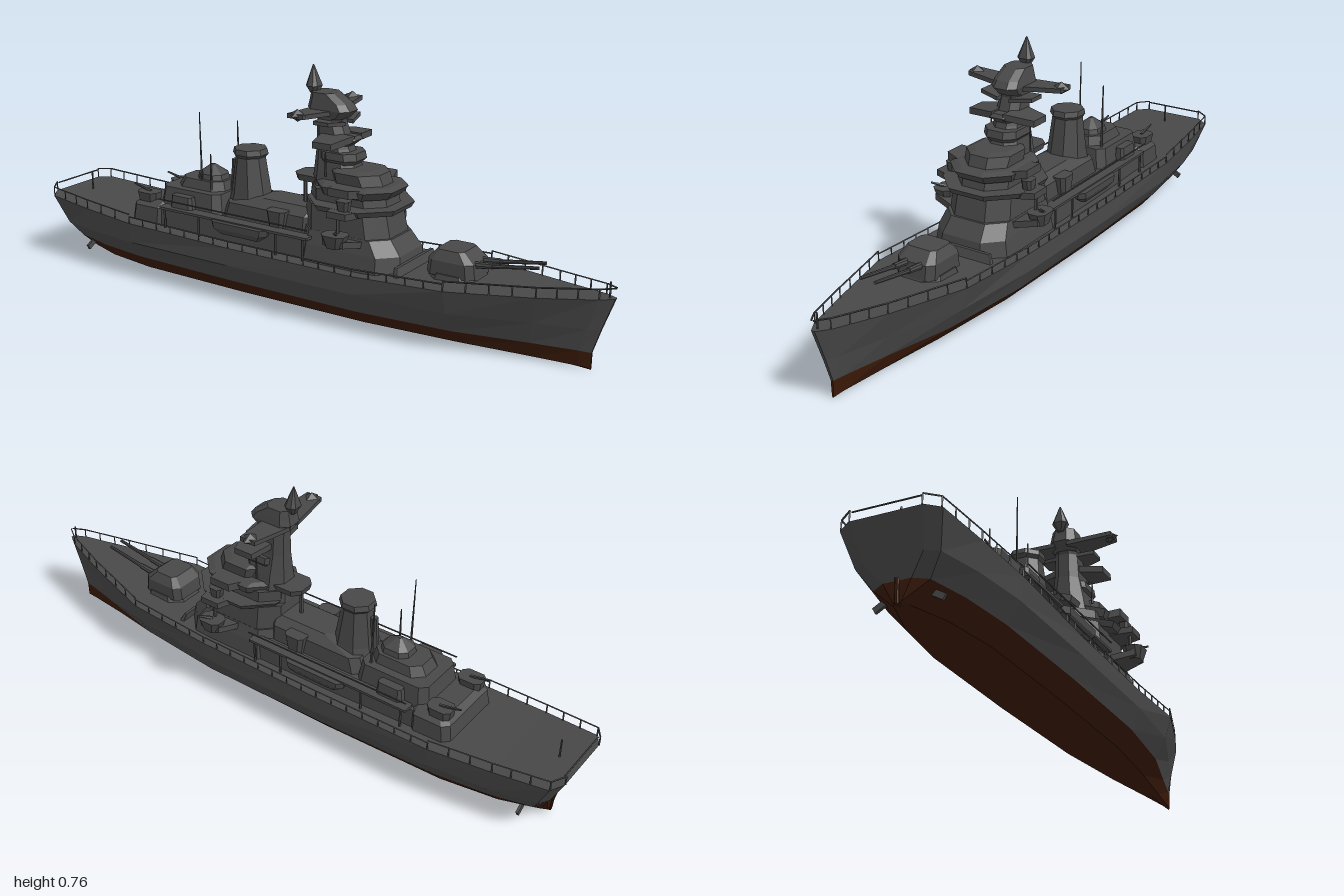
import * as THREE from 'three';

const grey = new THREE.MeshStandardMaterial({ color: 0x484848, flatShading: true, side: THREE.DoubleSide });
grey.name = 'warship grey';
const brown = new THREE.MeshStandardMaterial({ color: 0x3a1a08, flatShading: true, side: THREE.DoubleSide });
brown.name = 'bottom paint brown';

// Hull stations: deck x, keel x, deck y, half widths at deck, side, waterline, bilge
const stations = [
  [-0.995, -0.92, 0.222, 0.105, 0.085, 0.04, 0.012],
  [-0.97, -0.9, 0.217, 0.145, 0.12, 0.08, 0.02],
  [-0.8, -0.78, 0.205, 0.163, 0.15, 0.11, 0.06],
  [-0.6, -0.6, 0.193, 0.178, 0.17, 0.13, 0.085],
  [-0.2, -0.2, 0.183, 0.17, 0.17, 0.137, 0.09],
  [0.25, 0.25, 0.183, 0.165, 0.163, 0.132, 0.083],
  [0.55, 0.55, 0.198, 0.158, 0.138, 0.1, 0.055],
  [0.8, 0.77, 0.21, 0.085, 0.062, 0.045, 0.025],
  [0.96, 0.905, 0.222, 0.03, 0.02, 0.013, 0.008],
  [0.998, 0.94, 0.225, 0.006, 0.005, 0.004, 0.003],
];

export function createModel() {
  const ship = new THREE.Group();
  ship.name = 'warship';

  function add(name, geo, mat = grey) {
    const mesh = new THREE.Mesh(geo, mat);
    mesh.name = name;
    ship.add(mesh);
    return mesh;
  }
  function surface(name, points, index, mat = grey) {
    const geo = new THREE.BufferGeometry();
    geo.setAttribute('position', new THREE.Float32BufferAttribute(points.flat(), 3));
    geo.setIndex(index);
    geo.computeVertexNormals();
    return add(name, geo, mat);
  }
  // Chamfered block through levels of [y, rear x, front x, half width]
  function block(name, levels, z = 0, chamfer = 0.25) {
    const pts = [], idx = [], n = 8;
    for (const [y, x0, x1, w] of levels) {
      const c = chamfer * Math.min(x1 - x0, 2 * w);
      pts.push([x1, y, z - w + c], [x1, y, z + w - c], [x1 - c, y, z + w], [x0 + c, y, z + w],
        [x0, y, z + w - c], [x0, y, z - w + c], [x0 + c, y, z - w], [x1 - c, y, z - w]);
    }
    const top = (levels.length - 1) * n;
    for (let k = 0; k < top; k += n) for (let i = 0; i < n; i++) {
      const a = k + i, b = k + (i + 1) % n;
      idx.push(a, a + n, b, b, a + n, b + n);
    }
    for (let i = 1; i < n - 1; i++) idx.push(top, top + i + 1, top + i, 0, i, i + 1);
    return surface(name, pts, idx);
  }
  function rod(name, a, b, r = 0.003, r2 = r, sides = 5) {
    const p = new THREE.Vector3(...a), q = new THREE.Vector3(...b), d = q.clone().sub(p);
    const mesh = add(name, new THREE.CylinderGeometry(r2, r, d.length(), sides));
    mesh.position.copy(p).add(q).multiplyScalar(0.5);
    mesh.quaternion.setFromUnitVectors(new THREE.Vector3(0, 1, 0), d.normalize());
  }
  const both = (f) => [1, -1].forEach(f);

  // Hull, split at the waterline
  const rows = 9, hull = [], upper = [], lower = [], deck = [];
  stations.forEach(([xd, xk, yd, wd, wm, ww, wb], i) => {
    const t = i / (stations.length - 1), yw = 0.072 - 0.02 * t, yk = 0.013 * (1 - t);
    const half = [[yd, wd], [0.125, wm], [yw, ww], [yk + 0.005, wb], [yk, 0]];
    const ring = [...half, ...half.slice(0, 4).reverse().map(([y, w]) => [y, -w])];
    for (const [y, w] of ring) {
      const f = Math.max(0, (y - 0.06) / (yd - 0.06));
      hull.push([xk + (xd - xk) * f, y, w]);
    }
  });
  const last = (stations.length - 1) * rows;
  for (let k = 0; k < last; k += rows) {
    for (let j = 0; j < rows - 1; j++) {
      const a = k + j, list = j < 2 || j > 5 ? upper : lower;
      list.push(a, a + 1, a + rows, a + 1, a + rows + 1, a + rows);
    }
    deck.push(k + 8, k, k + rows, k + 8, k + rows, k + rows + 8);
  }
  for (let j = 0; j < 4; j++) {
    const list = j < 2 ? upper : lower, m = 8 - j;
    list.push(j, m, j + 1, j + 1, m, m - 1);
    list.push(last + j, last + j + 1, last + m, last + j + 1, last + m - 1, last + m);
  }
  surface('upperHull', hull, upper);
  surface('lowerHull', hull, lower, brown);
  surface('deck', hull, deck);

  // Deck rails with posts
  both((s) => {
    for (let i = 0; i < stations.length - 1; i++) {
      const a = stations[i], b = stations[i + 1], n = Math.max(1, Math.round((b[0] - a[0]) / 0.06));
      const tall = i < 3 || i > 5 ? 0.03 : 0.022;
      const at = (t, h) => [a[0] + (b[0] - a[0]) * t, a[2] + (b[2] - a[2]) * t + h, s * (a[3] + (b[3] - a[3]) * t - 0.003)];
      rod('deckRail', at(0, tall), at(1, tall), 0.0025, 0.0025, 4);
      for (let k = 0; k < n; k++) rod('railPost', at(k / n, 0), at(k / n, tall), 0.0025, 0.0025, 4);
    }
  });
  rod('sternRail', [-0.99, 0.25, 0.1], [-0.99, 0.25, -0.1], 0.0025);
  rod('bowStaff', [0.98, 0.22, 0], [0.98, 0.27, 0], 0.003);
  rod('sternStaff', [-0.925, 0.21, 0], [-0.925, 0.275, 0], 0.003);

  // Main gun turret and twin barrels
  block('turretBase', [[0.19, 0.44, 0.6, 0.075], [0.212, 0.45, 0.59, 0.07]]);
  block('turret', [[0.205, 0.44, 0.595, 0.066], [0.25, 0.445, 0.59, 0.066], [0.28, 0.47, 0.555, 0.05]], 0, 0.15);
  both((s) => {
    rod('gunSleeve', [0.57, 0.243, s * 0.025], [0.64, 0.252, s * 0.025], 0.011, 0.009, 8);
    rod('gunBarrel', [0.63, 0.25, s * 0.025], [0.78, 0.275, s * 0.025], 0.007, 0.005, 8);
  });
  block('breakwater', [[0.19, 0.37, 0.385, 0.12], [0.215, 0.365, 0.375, 0.11]], 0, 0.1);

  // Deckhouses along the middle
  block('aftDeckhouse', [[0.18, -0.64, -0.5, 0.13], [0.245, -0.63, -0.5, 0.125], [0.262, -0.61, -0.5, 0.1]], 0, 0.15);
  block('longDeckhouse', [[0.17, -0.56, 0.1, 0.12], [0.25, -0.55, 0.1, 0.115]], 0, 0.1);
  block('aftUpperHouse', [[0.25, -0.54, -0.29, 0.1], [0.315, -0.53, -0.3, 0.09]], 0, 0.12);
  block('aftDirectorHouse', [[0.31, -0.5, -0.31, 0.065], [0.345, -0.48, -0.32, 0.055]]);
  block('aftDirector', [[0.34, -0.43, -0.33, 0.045], [0.362, -0.425, -0.335, 0.04], [0.39, -0.39, -0.375, 0.006]]);
  block('midHouse', [[0.24, -0.3, 0.05, 0.085], [0.3, -0.28, 0.05, 0.08], [0.325, -0.16, 0.05, 0.05]], 0, 0.15);
  both((s) => {
    // Boats, deck platforms and light guns at each side
    block('boat', [[0.215, -0.25, -0.1, 0.008], [0.235, -0.28, -0.07, 0.022], [0.256, -0.285, -0.065, 0.023]], s * 0.135, 0.4);
    block('sidePlatform', [[0.252, -0.5, 0.08, 0.02], [0.26, -0.5, 0.08, 0.02]], s * 0.122, 0.1);
    for (const x of [-0.48, -0.34, -0.04, 0.06]) rod('platformPost', [x, 0.18, s * 0.135], [x, 0.255, s * 0.135], 0.004);
    block('aftGunTub', [[0.255, -0.62, -0.55, 0.025], [0.285, -0.625, -0.545, 0.03]], s * 0.085);
    rod('lightGun', [-0.58, 0.285, s * 0.085], [-0.65, 0.3, s * 0.085], 0.005, 0.003);
    block('locker', [[0.255, -0.47, -0.38, 0.02], [0.3, -0.465, -0.385, 0.015]], s * 0.105);
    block('ventilator', [[0.25, -0.09, -0.04, 0.02], [0.31, -0.1, -0.03, 0.024]], s * 0.085);
    rod('upperRail', [-0.5, 0.285, s * 0.14], [0.08, 0.285, s * 0.14], 0.0025);
  });

  // Funnel with a flared cap
  block('funnel', [[0.25, -0.31, -0.15, 0.07], [0.32, -0.29, -0.165, 0.058], [0.44, -0.275, -0.185, 0.046],
    [0.45, -0.285, -0.175, 0.052], [0.467, -0.28, -0.18, 0.05]], 0, 0.3);
  rod('funnelPipe', [-0.3, 0.28, 0], [-0.29, 0.42, 0], 0.012, 0.012, 6);

  // Whip aerials
  rod('aerial', [-0.39, 0.33, 0.05], [-0.395, 0.57, 0.05], 0.004, 0.0015);
  rod('aerial', [-0.33, 0.3, -0.07], [-0.335, 0.525, -0.07], 0.005, 0.002);
  rod('aerial', [-0.345, 0.3, 0.06], [-0.345, 0.44, 0.06], 0.004, 0.002);

  // Bridge levels
  block('bridgeBase', [[0.17, 0.0, 0.37, 0.13], [0.235, 0.01, 0.36, 0.12], [0.28, 0.02, 0.325, 0.108]], 0, 0.22);
  block('lowerBridge', [[0.27, 0.02, 0.32, 0.108], [0.36, 0.02, 0.3, 0.102]], 0, 0.25);
  block('bridgeDeck', [[0.352, 0.04, 0.325, 0.13], [0.37, 0.03, 0.335, 0.14]], 0, 0.28);
  block('upperBridge', [[0.36, 0.03, 0.3, 0.09], [0.405, 0.03, 0.29, 0.088]], 0, 0.28);
  block('bridgeRoof', [[0.395, 0.06, 0.3, 0.1], [0.42, 0.05, 0.32, 0.11], [0.428, 0.06, 0.3, 0.085]], 0, 0.28);
  block('bridgeDirector', [[0.42, 0.1, 0.28, 0.075], [0.46, 0.09, 0.265, 0.078], [0.467, 0.1, 0.24, 0.06]], 0, 0.3);
  block('aftBridgePlatform', [[0.405, -0.035, 0.08, 0.045], [0.425, -0.04, 0.08, 0.05]]);
  rod('platformStrut', [-0.02, 0.32, 0], [-0.02, 0.41, 0], 0.006);
  both((s) => {
    // Tapered wing: [x rear, x front] from root to tip
    const wing = (name, x0, x1, z0, z1, yRoot, yTip, h) => {
      const g = new THREE.BoxGeometry(x1 - x0, h, z1 - z0), p = g.attributes.position;
      for (let i = 0; i < p.count; i++) if (p.getZ(i) * s > 0) {
        p.setX(i, p.getX(i) * 0.6);
        p.setY(i, p.getY(i) + yTip - yRoot);
      }
      g.computeVertexNormals();
      add(name, g).position.set((x0 + x1) / 2, yRoot, s * (z0 + z1) / 2);
    };
    wing('bridgeWing', 0.15, 0.26, 0.08, 0.175, 0.355, 0.362, 0.02);
    wing('upperWing', 0.13, 0.25, 0.06, 0.142, 0.405, 0.42, 0.025);
    wing('sponson', 0.14, 0.26, 0.09, 0.185, 0.26, 0.28, 0.02);
    block('sponsonTub', [[0.265, 0.175, 0.225, 0.022], [0.305, 0.16, 0.24, 0.032]], s * 0.17);
    rod('sponsonGun', [0.2, 0.305, s * 0.17], [0.23, 0.32, s * 0.205], 0.006, 0.003);
    rod('bridgePost', [0.2, 0.28, s * 0.155], [0.2, 0.355, s * 0.155], 0.006);
    block('signalLamp', [[0.37, 0.19, 0.225, 0.015], [0.4, 0.185, 0.23, 0.018]], s * 0.135);
    // Mast yards and their end fittings
    wing('lowerYard', 0.06, 0.17, 0.02, 0.115, 0.555, 0.545, 0.02);
    wing('middleYard', 0.05, 0.14, 0.02, 0.09, 0.597, 0.605, 0.012);
    wing('upperYard', 0.01, 0.1, 0.02, 0.165, 0.625, 0.637, 0.014);
    const tip = add('yardFitting', new THREE.OctahedronGeometry(0.03));
    tip.scale.set(1, 0.65, 1);
    tip.position.set(0.055, 0.638, s * 0.15);
    rod('mastAerial', [0.1, 0.44, s * 0.07], [0.1, 0.515, s * 0.07], 0.004, 0.002);
  });

  // Tower mast with lookout platforms, masthead and spire
  block('towerMast', [[0.36, 0.02, 0.21, 0.07], [0.45, 0.03, 0.18, 0.055], [0.52, 0.035, 0.15, 0.042],
    [0.6, 0.035, 0.12, 0.038], [0.645, 0.02, 0.13, 0.042]], 0, 0.28);
  block('lowerLookout', [[0.475, 0.06, 0.17, 0.045], [0.49, 0.05, 0.185, 0.058], [0.512, 0.05, 0.18, 0.055]]);
  block('middleLookout', [[0.53, 0.06, 0.15, 0.035], [0.55, 0.05, 0.175, 0.045], [0.56, 0.05, 0.165, 0.04]]);
  block('masthead', [[0.61, 0.03, 0.13, 0.038], [0.635, 0.005, 0.155, 0.045], [0.655, 0.01, 0.14, 0.042], [0.684, 0.015, 0.095, 0.037]]);
  block('spire', [[0.67, 0.005, 0.025, 0.01], [0.697, -0.008, 0.034, 0.025], [0.76, 0.008, 0.012, 0.002]]);

  // Propellers and rudder
  both((s) => {
    rod('propellerShaft', [-0.74, 0.055, s * 0.07], [-0.87, 0.055, s * 0.06], 0.006);
    for (let k = 0; k < 3; k++) {
      const blade = add('propellerBlade', new THREE.BoxGeometry(0.008, 0.05, 0.018));
      blade.geometry.translate(0, 0.02, 0);
      blade.rotation.x = k * Math.PI * 2 / 3;
      blade.position.set(-0.865, 0.058, s * 0.06);
    }
  });
  block('rudder', [[0.013, -0.925, -0.87, 0.006], [0.08, -0.93, -0.88, 0.006]], 0, 0.2).material = brown;

  return ship;
}
